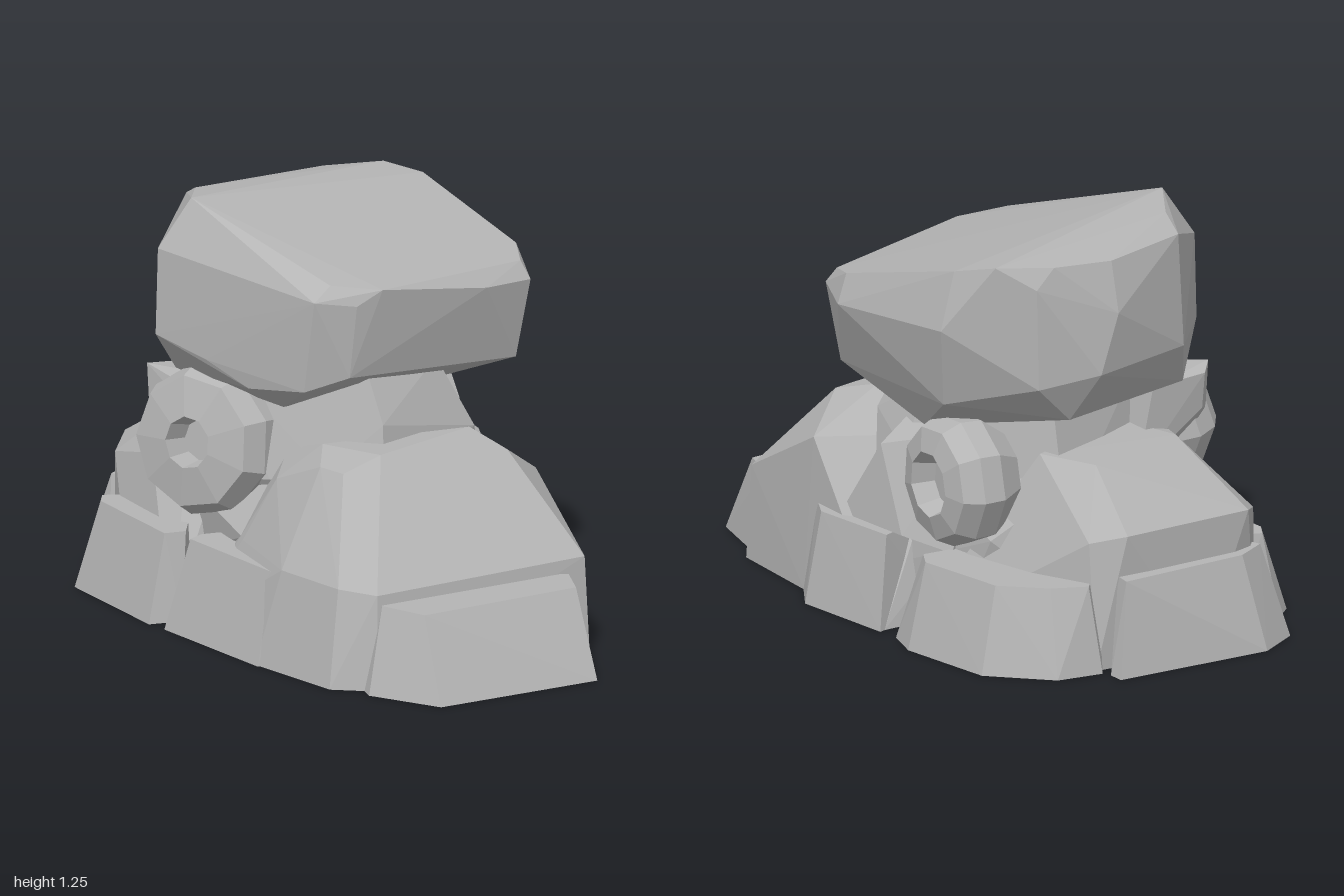
import * as THREE from 'three';
import { ConvexGeometry } from 'three/addons/geometries/ConvexGeometry.js';

const stone = new THREE.MeshStandardMaterial({ color: 0xb4b4b4, flatShading: true });
stone.name = 'grey stone';

// A faceted rock: the convex hull of its corner points
function rock(name, corners) {
  const mesh = new THREE.Mesh(new ConvexGeometry(corners.map(c => new THREE.Vector3(...c))), stone);
  mesh.name = name;
  return mesh;
}

// A low rock: a ground outline and a smaller top outline, as [x, z] pairs
function block(name, base, top, height) {
  return rock(name, [...base.map(([x, z]) => [x, 0, z]), ...top.map(([x, z]) => [x, height, z])]);
}

// A round, bevelled stone with a socket in its face, turned to look along a direction
function socketStone(name, radius, socket, position, direction) {
  const profile = [[0, -0.8], [0.66, -0.7], [0.98, -0.25], [1, 0.1], [0.86, 0.4], [socket, 0.5], [socket * 0.8, 0.15], [0, 0.15]]
    .map(([r, h]) => new THREE.Vector2(r * radius, h * radius));
  const geometry = new THREE.LatheGeometry(profile, 9).toNonIndexed();
  geometry.computeVertexNormals();
  const mesh = new THREE.Mesh(geometry, stone);
  mesh.name = name;
  mesh.position.set(...position);
  mesh.quaternion.setFromUnitVectors(new THREE.Vector3(0, 1, 0), new THREE.Vector3(...direction).normalize());
  return mesh;
}

export function createModel() {
  const group = new THREE.Group();
  group.name = 'rockFormation';

  // Large balanced boulder
  group.add(rock('topBoulder', [
    [-0.5, 1.19, -0.38], [-0.38, 1.2, -0.51], [-0.26, 1.18, -0.55], [0.19, 1.07, -0.46], [0.28, 1.05, -0.38],
    [0.24, 1.07, 0.18], [0.14, 1.09, 0.3], [-0.42, 1.25, 0.29], [-0.53, 1.23, 0.15],
    [0.32, 1.0, -0.38], [0.31, 1.01, -0.2], [0.21, 1.03, 0.26], [0.14, 1.05, 0.37],
    [0.1, 0.77, 0.37], [0.19, 0.81, 0.27], [0.28, 0.76, -0.36], [0.2, 0.98, -0.49],
    [-0.24, 1.0, -0.59], [-0.48, 1.1, 0.37], [-0.48, 0.84, 0.38], [-0.28, 0.8, 0.38], [-0.12, 0.74, 0.37],
    [-0.61, 1.19, 0.1], [-0.58, 1.18, -0.2], [-0.62, 1.03, -0.22], [-0.48, 1.13, -0.44],
    [-0.63, 0.85, 0.1], [-0.6, 0.85, -0.28], [-0.48, 0.82, -0.43],
    [-0.57, 0.71, 0.18], [-0.47, 0.72, 0.3], [-0.1, 0.66, 0.24], [0.04, 0.67, -0.22], [-0.05, 0.63, -0.4],
    [-0.5, 0.7, -0.3], [-0.2, 0.75, -0.52],
  ]));

  // Stones carrying the boulder
  group.add(rock('neck', [
    [0.17, 0.8, 0.17], [0.18, 0.79, -0.12], [0.25, 0.66, 0.19], [0.26, 0.6, 0.2], [0.26, 0.58, -0.2], [0.1, 0.5, -0.3],
    [0.05, 0.7, -0.24], [-0.4, 0.75, -0.25], [-0.5, 0.4, -0.32], [-0.4, 0.75, 0.2], [-0.1, 0.45, 0.3],
    [0.1, 0.5, 0.28], [-0.45, 0.4, 0.3], [0.26, 0.3, 0.2], [0.2, 0.3, -0.3],
  ]));
  group.add(rock('neckLedge', [
    [-0.58, 0.71, 0.28], [-0.55, 0.73, 0.34], [-0.57, 0.6, 0.28], [-0.2, 0.7, 0.2], [-0.54, 0.58, 0.34],
    [-0.2, 0.6, 0.28], [-0.52, 0.7, 0.1], [-0.5, 0.45, 0.28], [-0.2, 0.45, 0.3], [-0.5, 0.45, 0.05],
  ]));
  group.add(rock('backShoulder', [
    [0.1, 0.62, -0.22], [0.15, 0.52, -0.34], [0.02, 0.28, -0.42], [0.3, 0.28, -0.33], [-0.15, 0.6, -0.3],
    [-0.15, 0.25, -0.4], [0.2, 0.3, 0], [-0.1, 0.55, 0],
  ]));
  group.add(rock('core', [
    [-0.55, 0.12, -0.3], [-0.55, 0.12, 0.2], [0.1, 0.12, 0.4], [0.2, 0.12, -0.3], [-0.2, 0.12, -0.4],
    [-0.5, 0.5, -0.3], [-0.45, 0.36, 0.26], [0, 0.48, 0.28], [0.1, 0.5, -0.28], [-0.1, 0.3, 0.42], [-0.3, 0.32, -0.42],
  ]));

  // Great sloping slab, split from the left rock by a narrow cleft
  group.add(rock('slopingSlab', [
    [0.14, 0, 0.63], [0.48, 0, 0.68], [0.6, 0, 0.6], [0.78, 0, -0.13], [0.46, 0, -0.29], [0.04, 0, -0.48], [-0.28, 0, 0.48],
    [0.11, 0.6, 0.3], [0.2, 0.57, 0.41], [0.3, 0.57, 0.42], [0.34, 0.61, 0.3], [0.48, 0.57, -0.1], [0.33, 0.61, -0.1],
    [0.05, 0.52, -0.15], [0.2, 0.29, 0.58], [0.46, 0.29, 0.62], [0.57, 0.28, 0.57], [0.76, 0.29, -0.13],
    [0.44, 0.47, -0.27], [-0.1, 0.53, 0.22], [0, 0.49, 0.38], [-0.08, 0.3, 0.44],
  ]));

  // Left rock with sloping top
  group.add(rock('leftRock', [
    [-0.85, 0, 0.15], [-0.6, 0, 0.36], [-0.36, 0, 0.45], [-0.04, 0, -0.48], [-0.7, 0, -0.45], [-0.84, 0, -0.1],
    [-0.89, 0.4, 0.06], [-0.83, 0.37, 0.17], [-0.62, 0.42, 0.24], [-0.6, 0.57, 0.1], [-0.53, 0.56, 0.16],
    [-0.58, 0.57, -0.28], [-0.75, 0.4, -0.36], [-0.66, 0.38, -0.43], [-0.4, 0.58, -0.31], [-0.4, 0.58, 0.1],
  ]));

  // Low rocks around the foot: [name, ground outline, top outline, height]
  const footRocks = [
    ['frontLeftBlock', [[-0.84, 0.29], [-0.81, 0.37], [-0.38, 0.52], [-0.33, 0.43], [-0.5, 0.15], [-0.75, 0.15]],
      [[-0.8, 0.26], [-0.76, 0.31], [-0.39, 0.44], [-0.36, 0.38], [-0.5, 0.2], [-0.75, 0.2]], 0.26],
    ['frontBlock', [[-0.32, 0.45], [-0.31, 0.53], [0.16, 0.64], [0.2, 0.55], [0.1, 0.2], [-0.2, 0.2]],
      [[-0.28, 0.4], [-0.27, 0.46], [0.14, 0.56], [0.17, 0.5], [0.1, 0.25], [-0.2, 0.25]], 0.27],
    ['rightBlock', [[0.5, 0.58], [0.61, 0.65], [0.85, 0.6], [1, 0.08], [0.76, -0.1], [0.55, 0.1]],
      [[0.54, 0.5], [0.58, 0.56], [0.74, 0.55], [0.87, 0.03], [0.76, -0.06], [0.6, 0.1]], 0.25],
    ['leftBlock', [[-1, 0], [-0.97, 0.16], [-0.84, 0.19], [-0.7, -0.2], [-0.76, -0.46], [-0.81, -0.48]],
      [[-0.91, 0], [-0.89, 0.12], [-0.8, 0.12], [-0.7, -0.2], [-0.73, -0.38], [-0.78, -0.41]], 0.28],
    ['backLeftBlock', [[-0.73, -0.46], [-0.66, -0.59], [-0.45, -0.68], [-0.13, -0.6], [-0.03, -0.52], [-0.15, -0.3], [-0.6, -0.3]],
      [[-0.68, -0.46], [-0.6, -0.54], [-0.45, -0.61], [-0.15, -0.54], [-0.1, -0.48], [-0.18, -0.3], [-0.6, -0.3]], 0.26],
    ['backRightBlock', [[0.04, -0.5], [0.38, -0.4], [0.47, -0.28], [0.35, -0.1], [0.03, -0.2]],
      [[0.06, -0.44], [0.35, -0.36], [0.42, -0.28], [0.35, -0.1], [0.06, -0.2]], 0.28],
  ];
  for (const spec of footRocks) group.add(block(...spec));

  // Round socketed stones on the front and back
  group.add(socketStone('frontRoundStone', 0.23, 0.34, [-0.34, 0.53, 0.3], [0.13, 0.12, 1]));
  group.add(socketStone('backRoundStone', 0.2, 0.5, [-0.18, 0.49, -0.42], [0.45, 0, -1]));

  return group;
}
